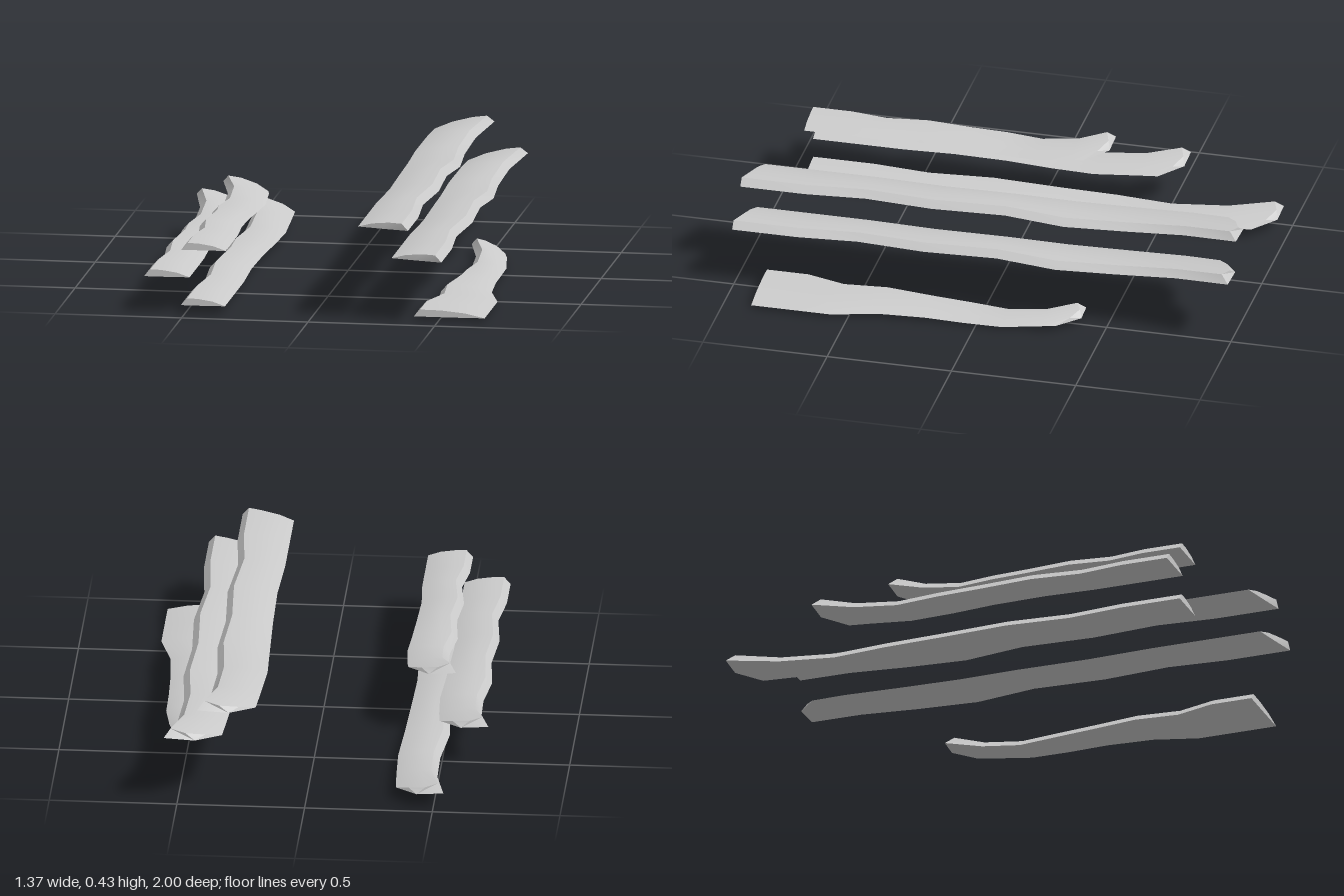
import * as THREE from 'three';
import { toCreasedNormals } from 'three/addons/utils/BufferGeometryUtils.js';

// Stations along the plank: t (0 front, 1 tail), thick edge inset, thin edge bulge,
// lift, and how much of the flare applies on the thick and thin edges.
const STATIONS = [
  [0, 0, 0, 0, 1, 1],
  [0.13, 0, 0, 0, 1, 1],
  [0.25, 0.02, 0, 0, 0.5, 1],
  [0.385, 0, -0.01, 0, 0.4, 0.6],
  [0.53, 0.015, -0.005, 0, 0.2, 0.42],
  [0.65, 0, 0.002, -0.012, 0, 0.3],
  [0.77, 0.02, 0.01, -0.012, 0, 0.2],
  [0.89, 0.014, 0, 0.005, 0, 0.06],
  [1, -0.025, -0.008, 0.022, 0, 0],
];

// Cross-section: fraction across from the thick edge, height, tail set-back,
// extra lift at the tail.
const SECTION = [
  [0, 0, 0, 0.003],
  [0, 0.028, 0.03, 0.004],
  [0.38, 0.027, 0.012, -0.006],
  [0.72, 0.018, 0.04, -0.012],
  [1, 0.001, 0.085, -0.015],
  [0.55, 0, 0, -0.004],
];
const RIDGE_INSET = 0.025;

// thick, thin: x of the two long edges; y: underside; z0, z1: front and tail
function plankGeometry({ thick, thin, y, z0, z1, slant = 0, flare = [0, 0] }) {
  const side = Math.sign(thick - thin);
  const n = SECTION.length;
  const pos = [], index = [];
  const face = (a, b, c) => (side > 0 ? index.push(a, b, c) : index.push(a, c, b));

  STATIONS.forEach(([t, inset, bulge, lift, flareA, flareB], i) => {
    const a = thick + side * (flare[0] * flareA - inset);
    const b = thin - side * (bulge + flare[1] * flareB);
    const tail = i === STATIONS.length - 1 ? 1 : 0;
    SECTION.forEach(([f, h, back, tailLift], j) => {
      const x = a + (b - a) * f - (j === 1 ? side * RIDGE_INSET : 0);
      const dip = lift * (lift < 0 ? 1 - 0.5 * f : 1);
      const z = z0 + (z1 - z0) * t + tail * back - (i === 0 ? slant * f : 0);
      pos.push(x, y + h + dip + tail * tailLift, z);
    });
  });

  // skin between stations
  for (let i = 0; i < STATIONS.length - 1; i++) {
    for (let j = 0; j < n; j++) {
      const a = i * n + j, b = i * n + (j + 1) % n;
      face(a, a + n, b);
      face(b, a + n, b + n);
    }
  }
  // end caps, fanned from the underside middle point
  const last = (STATIONS.length - 1) * n;
  for (let j = 0; j < n - 2; j++) {
    face(n - 1, j, j + 1);
    face(last + n - 1, last + j + 1, last + j);
  }

  const g = new THREE.BufferGeometry();
  g.setAttribute('position', new THREE.Float32BufferAttribute(pos, 3));
  g.setIndex(index);
  return toCreasedNormals(g, 0.45);
}

export function createModel() {
  const group = new THREE.Group();
  group.name = 'plankSet';
  const material = new THREE.MeshStandardMaterial({ color: 0xcccccc, side: THREE.DoubleSide });

  const planks = {
    leftUpperPlank: { thick: 0.395, thin: 0.19, y: 0.38, z0: 1, z1: -1, slant: 0.05 },
    leftMiddlePlank: { thick: 0.527, thin: 0.322, y: 0.258, z0: 1, z1: -1, slant: 0.05 },
    leftLowerPlank: { thick: 0.45, thin: 0.58, y: 0.016, z0: 0.885, z1: -0.4, flare: [0.05, 0.1] },
    rightUpperPlank: { thick: -0.513, thin: -0.337, y: 0.26, z0: 0.925, z1: -0.28 },
    rightMiddlePlank: { thick: -0.66, thin: -0.48, y: 0.15, z0: 0.925, z1: -0.545 },
    rightLowerPlank: { thick: -0.515, thin: -0.34, y: 0.039, z0: 0.925, z1: -0.955 },
  };
  for (const [name, spec] of Object.entries(planks)) {
    const mesh = new THREE.Mesh(plankGeometry(spec), material);
    mesh.name = name;
    group.add(mesh);
  }
  return group;
}
